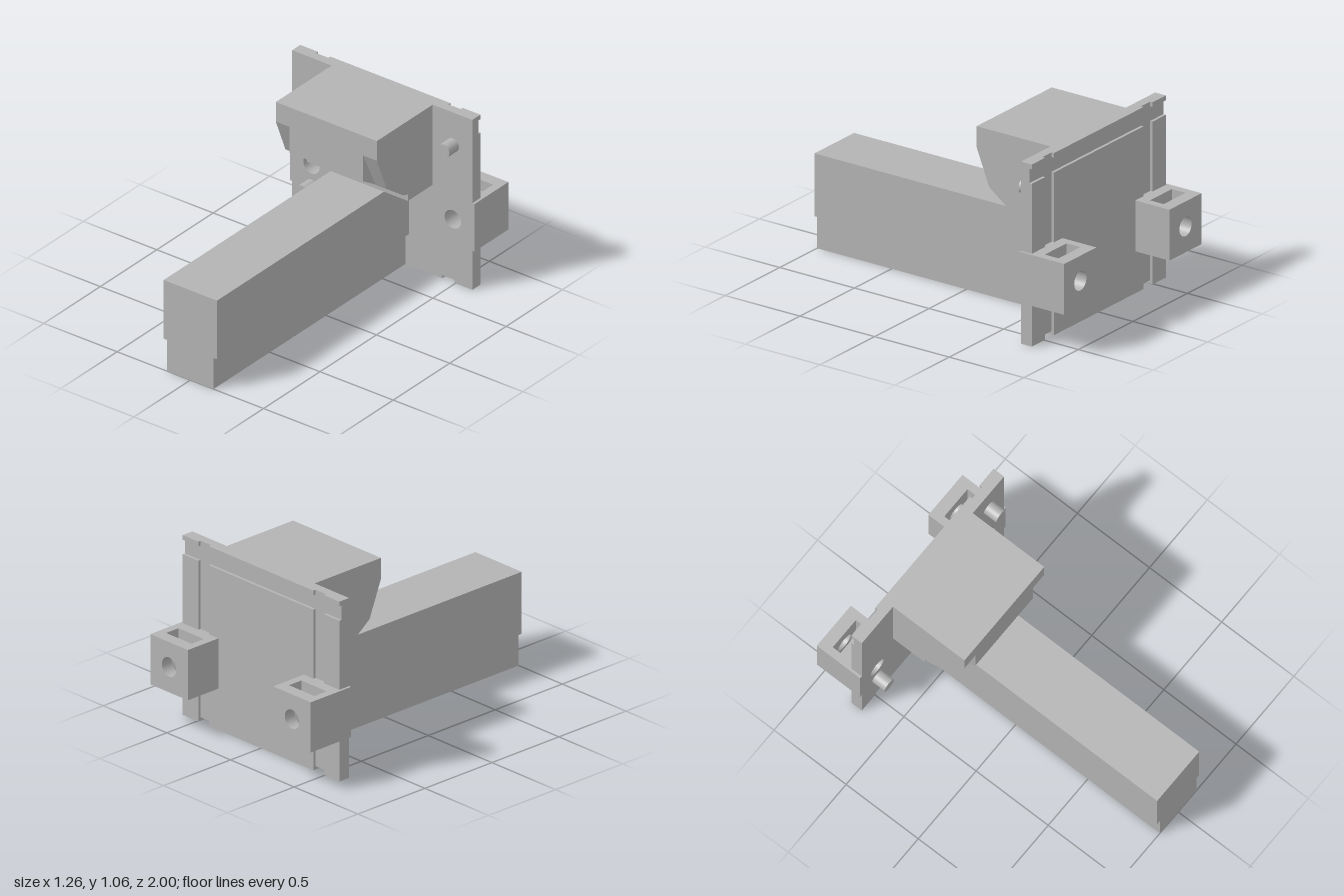
import * as THREE from 'three';

const grey = new THREE.MeshStandardMaterial({ color: 0xb3b3b3 });
grey.name = 'plainGrey';

// Closed shape from [x, y] points, with optional round holes [x, y, r]
function outline(points, holes = []) {
  const s = new THREE.Shape(points.map(([x, y]) => new THREE.Vector2(x, y)));
  for (const [x, y, r] of holes) {
    s.holes.push(new THREE.Path().absarc(x, y, r, 0, Math.PI * 2, true));
  }
  return s;
}

export function createModel() {
  const root = new THREE.Group();
  root.name = 'mountingBracket';

  const add = (name, geo, parent = root) => {
    const m = new THREE.Mesh(geo, grey);
    m.name = name;
    parent.add(m);
    return m;
  };
  const box = (name, x0, x1, y0, y1, z0, z1, parent) =>
    add(name, new THREE.BoxGeometry(x1 - x0, y1 - y0, z1 - z0), parent)
      .position.set((x0 + x1) / 2, (y0 + y1) / 2, (z0 + z1) / 2);
  const slab = (name, shape, z0, z1, parent) => {
    const geo = new THREE.ExtrudeGeometry(shape, { depth: z1 - z0, bevelEnabled: false, curveSegments: 24 });
    return add(name, geo.translate(0, 0, z0), parent);
  };
  // Extrude a (z, y) profile sideways from x0 to x1
  const sideProfile = (points, x0, x1) =>
    new THREE.ExtrudeGeometry(outline(points.map(([z, y]) => [-z, y])), { depth: x1 - x0, bevelEnabled: false })
      .rotateY(Math.PI / 2).translate(x0, 0, 0);

  const front = -0.70, grooveZ = -0.755, back = -0.772;
  const boltX = 0.4825, boltY = 0.395, boltR = 0.056;

  // Plate with bottom notches and bolt holes
  slab('plate', outline([
    [-0.615, 0], [-0.493, 0], [-0.493, 0.02], [-0.41, 0.02], [-0.41, 0],
    [0.41, 0], [0.41, 0.02], [0.493, 0.02], [0.493, 0],
    [0.615, 0], [0.615, 1.063], [-0.615, 1.063],
  ], [[-boltX, boltY, boltR], [boltX, boltY, boltR]]), grooveZ, front);

  // Raised panels on the back, leaving grooves between them
  box('backPanel', -0.41, 0.41, 0, 0.95, back, grooveZ);
  box('backTopStrip', -0.41, 0.41, 1.035, 1.063, back, grooveZ);
  for (const s of [-1, 1]) {
    const x0 = s > 0 ? 0.493 : -0.615, x1 = s > 0 ? 0.615 : -0.493;
    box('backLowerStrip', x0, x1, 0, 0.25, back, grooveZ);
    box('backUpperStrip', x0, x1, 0.54, 0.95, back, grooveZ);
    box('backCornerStrip', x0, x1, 1.035, 1.063, back, grooveZ);
  }

  // Bolt blocks with a round hole and a hexagonal nut slot open at the top
  const w = 0.1475, y0 = 0.245, y1 = 0.542;
  const solid = outline([[-w, y0], [w, y0], [w, y1], [-w, y1]], [[0, boltY, boltR]]);
  const slotted = outline([
    [-w, y0], [w, y0], [w, y1], [0.1, y1], [0.1, boltY], [0.05, boltY - 0.087],
    [-0.05, boltY - 0.087], [-0.1, boltY], [-0.1, y1], [-w, y1],
  ]);
  for (const s of [-1, 1]) {
    const block = new THREE.Group();
    block.name = s > 0 ? 'leftBoltBlock' : 'rightBoltBlock';
    block.position.x = s * boltX;
    slab('blockBack', solid, -1, -0.927, block);
    slab('blockNutSlot', slotted, -0.927, -0.835, block);
    slab('blockFront', solid, -0.835, front, block);
    root.add(block);
  }

  // Locating pins
  for (const [name, x, y] of [['leftPin', 0.4825, 0.86], ['rightPin', -0.4825, 0.26]]) {
    const pin = new THREE.CylinderGeometry(0.041, 0.041, 0.085, 32).rotateX(Math.PI / 2);
    add(name, pin).position.set(x, y, front + 0.0425);
  }

  // Long stepped beam
  slab('beam', outline([
    [-0.158, 0], [0.158, 0], [0.158, 0.195], [0.182, 0.195],
    [0.182, 0.562], [-0.182, 0.562], [-0.182, 0.195], [-0.158, 0.195],
  ]), front, 1);

  // Housing centre, slightly narrower at its front edge
  const underside = [[-0.44, 0.615], [-0.48, 0.602], [-0.48, 0.562], [front, 0.562], [front, 1.063]];
  const centre = sideProfile(
    [[-0.205, 1.063], [-0.205, 0.778], [-0.29, 0.727], ...underside, [-0.29, 1.063]], -0.27, 0.27);
  const p = centre.attributes.position;
  for (let i = 0; i < p.count; i++) {
    if (p.getZ(i) > -0.21) p.setX(i, Math.sign(p.getX(i)) * 0.25);
  }
  centre.computeVertexNormals();
  add('housingCentre', centre);

  // Housing sides, cut back at the lower front corners
  const side = [[-0.205, 1.063], [-0.205, 0.94], [-0.29, 0.727], ...underside];
  add('housingLeftSide', sideProfile(side, 0.25, 0.345));
  add('housingRightSide', sideProfile(side, -0.345, -0.25));

  return root;
}
